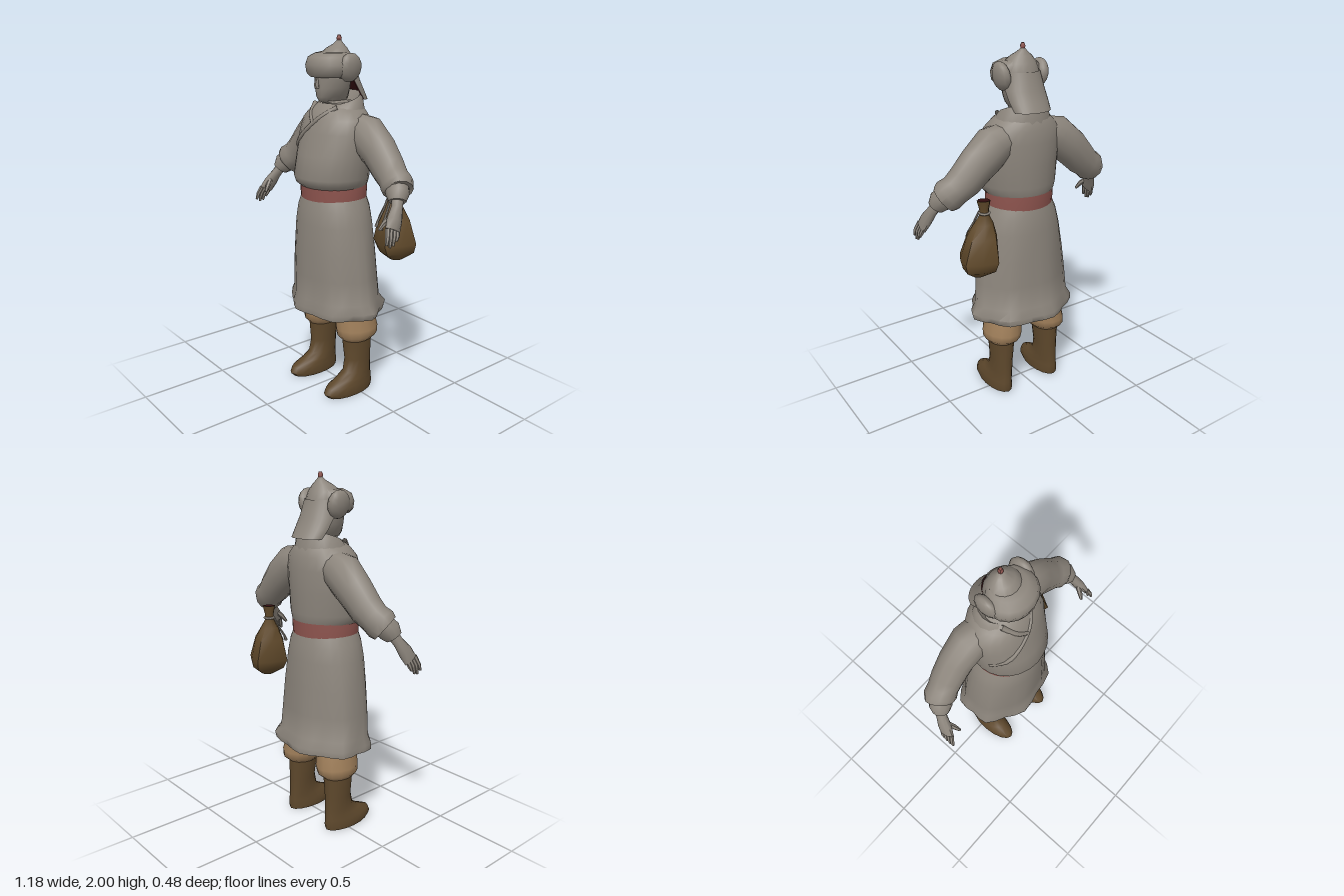
import * as THREE from 'three';
import { toCreasedNormals } from 'three/addons/utils/BufferGeometryUtils.js';

const mat = (name, color, side = THREE.FrontSide) => {
  const m = new THREE.MeshStandardMaterial({ color, side });
  m.name = name;
  return m;
};

// Skin a list of rings (arrays of Vector3); optional end caps
function skin(rings, { closed = true, capStart = false, capEnd = false, crease = 0.95 } = {}) {
  const n = rings[0].length, pos = [], idx = [];
  rings.forEach(r => r.forEach(p => pos.push(p.x, p.y, p.z)));
  for (let i = 0; i < rings.length - 1; i++)
    for (let j = 0; j < (closed ? n : n - 1); j++) {
      const k = (j + 1) % n, a = i * n + j, b = i * n + k, c = a + n, d = b + n;
      idx.push(a, c, b, b, c, d);
    }
  const cap = (i, flip) => {
    const c = new THREE.Vector3();
    rings[i].forEach(p => c.addScaledVector(p, 1 / n));
    const ci = pos.length / 3;
    pos.push(c.x, c.y, c.z);
    for (let j = 0; j < n; j++) {
      const a = i * n + j, b = i * n + (j + 1) % n;
      idx.push(...(flip ? [ci, a, b] : [ci, b, a]));
    }
  };
  if (capStart) cap(0, true);
  if (capEnd) cap(rings.length - 1, false);
  const g = new THREE.BufferGeometry();
  g.setAttribute('position', new THREE.Float32BufferAttribute(pos, 3));
  g.setIndex(idx);
  return toCreasedNormals(g, crease);
}

// Level rings going up: [y, half width, front z, back z, centre x, ripple, tilt]
function stack(rows, o = {}) {
  const { n = 20, start = 0, arc = Math.PI * 2, freq = 7 } = o;
  const open = arc < 6.28;
  return skin(rows.map(([y, rx, zf, zb, cx = 0, ripple = 0, tilt = 0]) =>
    Array.from({ length: open ? n + 1 : n }, (_, j) => {
      const t = j / n * arc, a = start + t, k = 1 + ripple * Math.cos(freq * t);
      return new THREE.Vector3(cx + Math.cos(a) * rx * k, y + tilt * Math.sin(a),
        (zf + zb) / 2 + Math.sin(a) * (zf - zb) / 2 * k);
    })), { ...o, closed: !open });
}

// Rings square to a path: [x, y, z, radius, radius towards z]
function limb(path, o = {}) {
  const n = o.n ?? 12, pts = path.map(p => new THREE.Vector3(p[0], p[1], p[2]));
  const rings = path.map((p, i) => {
    const t = pts[Math.min(i + 1, pts.length - 1)].clone().sub(pts[Math.max(i - 1, 0)]).normalize();
    const u = t.clone().cross(new THREE.Vector3(0, 0, 1)).normalize();
    const v = u.clone().cross(t);
    return Array.from({ length: n }, (_, j) => {
      const a = j / n * Math.PI * 2;
      return pts[i].clone().addScaledVector(u, Math.cos(a) * p[3]).addScaledVector(v, Math.sin(a) * (p[4] ?? p[3]));
    });
  });
  return skin(rings, { capStart: true, capEnd: true, ...o });
}

export function createModel() {
  const model = new THREE.Group();
  const grey = mat('grey felt', 0x8c857c, THREE.DoubleSide);
  const red = mat('sash red', 0x8f554f);
  const tan = mat('trouser tan', 0xa1805b);
  const brown = mat('leather brown', 0x5e482c);
  const sack = mat('sack brown', 0x614a2b);
  const lining = mat('dark red lining', 0x310e10, THREE.DoubleSide);
  const add = (name, geo, m) => {
    const mesh = new THREE.Mesh(geo, m);
    mesh.name = name;
    model.add(mesh);
    return mesh;
  };

  // Coat
  add('coatSkirt', stack([
    [0.52, 0.25, 0.18, -0.18], [0.475, 0.275, 0.21, -0.205, 0, 0.03], [0.485, 0.305, 0.235, -0.23, 0, 0.05],
    [0.52, 0.31, 0.238, -0.235, 0.005, 0.05], [0.565, 0.287, 0.222, -0.205, 0, 0.03], [0.7, 0.278, 0.222, -0.195, 0, 0.02],
    [0.85, 0.26, 0.22, -0.187, 0, 0.015], [1.0, 0.238, 0.215, -0.178], [1.09, 0.215, 0.207, -0.168], [1.15, 0.187, 0.192, -0.153],
  ], { n: 28, capStart: true }), grey);
  add('sash', stack([[1.135, 0.19, 0.196, -0.157], [1.175, 0.192, 0.2, -0.16], [1.215, 0.192, 0.203, -0.162]], { n: 28 }), red);
  add('coatTorso', stack([
    [1.2, 0.185, 0.195, -0.155], [1.225, 0.205, 0.228, -0.163], [1.26, 0.217, 0.238, -0.166], [1.38, 0.22, 0.212, -0.17],
    [1.5, 0.23, 0.178, -0.17], [1.57, 0.215, 0.155, -0.16], [1.615, 0.165, 0.13, -0.145], [1.65, 0.11, 0.09, -0.12],
  ], { n: 24, capEnd: true }), grey);
  add('collar', stack([
    [1.575, 0.17, 0.155, -0.15, 0, 0, -0.02], [1.655, 0.143, 0.1, -0.135, 0, 0, -0.03],
    [1.675, 0.125, 0.08, -0.122, 0, 0, -0.035], [1.625, 0.09, 0.07, -0.09, 0, 0, -0.03],
  ], { n: 18 }), grey);
  // Overlapping front edge and neck opening
  const edge = (name, pts) => add(name, new THREE.TubeGeometry(
    new THREE.CatmullRomCurve3(pts.map(p => new THREE.Vector3(...p))), 14, 0.014, 6), grey);
  edge('coatOverlap', [[0.1, 1.635, 0.075], [0.03, 1.575, 0.142], [-0.06, 1.5, 0.166], [-0.14, 1.43, 0.155], [-0.2, 1.37, 0.085]]);
  edge('collarFold', [[-0.095, 1.645, 0.07], [-0.05, 1.59, 0.132], [0, 1.548, 0.158]]);

  for (const s of [-1, 1]) {
    const side = s > 0 ? 'left' : 'right';
    const m = path => path.map(([x, ...r]) => [s * x, ...r]);
    // Sleeve with a turned cuff
    add(side + 'Sleeve', limb(m([
      [0.12, 1.525, -0.03, 0.085, 0.09], [0.2, 1.495, -0.04, 0.112, 0.1], [0.3, 1.415, -0.045, 0.105, 0.09],
      [0.38, 1.335, -0.04, 0.095, 0.085], [0.43, 1.295, -0.03, 0.084, 0.08], [0.465, 1.27, -0.02, 0.09, 0.085],
      [0.485, 1.25, -0.01, 0.08, 0.076], [0.48, 1.255, -0.01, 0.055, 0.055],
    ])), grey);
    add(side + 'Cuff', limb(m([
      [0.46, 1.275, -0.02, 0.062], [0.5, 1.235, 0.01, 0.062, 0.06], [0.515, 1.205, 0.025, 0.045],
    ])), grey);
    // Hand
    add(side + 'Palm', limb(m([
      [0.505, 1.225, 0.015, 0.03, 0.035], [0.53, 1.18, 0.04, 0.026, 0.032], [0.55, 1.125, 0.075, 0.028, 0.045],
      [0.565, 1.08, 0.1, 0.02, 0.045],
    ]), { n: 10 }), grey);
    for (let f = 0; f < 4; f++) {
      const z = 0.07 + f * 0.022, drop = [0.025, 0.005, 0, 0.015][f];
      add(side + 'Finger' + (f + 1), limb(m([
        [0.563, 1.095, z - 0.005, 0.013], [0.58, 1.05, z + 0.012, 0.012], [0.584, 1.002 + drop, z + 0.022, 0.007],
      ]), { n: 6 }), grey);
    }
    add(side + 'Thumb', limb(m([
      [0.54, 1.15, 0.075, 0.016], [0.52, 1.11, 0.115, 0.014], [0.508, 1.075, 0.14, 0.008],
    ]), { n: 6 }), grey);

    // Trouser leg and boot
    add(side + 'TrouserLeg', stack([
      [0.32, 0.075, 0.07, -0.115, s * 0.158], [0.35, 0.105, 0.098, -0.15, s * 0.155], [0.39, 0.11, 0.102, -0.155, s * 0.15],
      [0.47, 0.1, 0.1, -0.14, s * 0.14], [0.6, 0.1, 0.1, -0.13, s * 0.13],
    ], { n: 14, capStart: true }), tan);
    add(side + 'Boot', stack([
      [0, 0.068, 0.19, -0.115, s * 0.165], [0.025, 0.073, 0.215, -0.12, s * 0.165], [0.06, 0.068, 0.2, -0.118, s * 0.165],
      [0.09, 0.062, 0.13, -0.115, s * 0.163], [0.125, 0.058, 0.075, -0.113, s * 0.162], [0.2, 0.06, 0.058, -0.112, s * 0.16],
      [0.35, 0.072, 0.072, -0.118, s * 0.156],
    ], { n: 16, capStart: true }), brown);

    // Ear roll of the hat
    const ear = add(side + 'HatRoll', new THREE.SphereGeometry(1, 12, 8), grey);
    ear.scale.set(0.038, 0.076, 0.072);
    ear.position.set(s * 0.118, 1.838, 0.005);
    ear.rotation.z = s * -0.15;
  }

  // Head
  add('head', stack([
    [1.58, 0.07, 0.06, -0.08], [1.645, 0.06, 0.065, -0.075], [1.662, 0.035, 0.115, -0.07], [1.685, 0.055, 0.127, -0.075],
    [1.73, 0.075, 0.13, -0.08], [1.78, 0.082, 0.133, -0.085], [1.84, 0.085, 0.135, -0.085],
  ], { n: 16 }), grey);
  add('nose', limb([[0, 1.79, 0.125, 0.009], [0, 1.75, 0.133, 0.014, 0.016], [0, 1.732, 0.13, 0.016, 0.012]], { n: 6 }), grey);

  // Hat: rolled brim, pointed crown, knob and neck flap
  add('hatBrim', stack([
    [1.795, 0.085, 0.13, -0.03], [1.788, 0.11, 0.148, -0.05], [1.81, 0.134, 0.165, -0.065], [1.85, 0.14, 0.17, -0.07],
    [1.89, 0.125, 0.158, -0.065], [1.912, 0.09, 0.115, -0.06],
  ], { n: 18, capEnd: true }), grey);
  add('hatCrown', stack([
    [1.78, 0.1, 0.1, -0.1], [1.85, 0.103, 0.1, -0.093], [1.9, 0.09, 0.095, -0.075], [1.935, 0.058, 0.05, -0.055],
    [1.955, 0.03, 0.013, -0.04], [1.975, 0.01, -0.008, -0.028],
  ], { n: 16, capEnd: true }), grey);
  add('hatKnob', stack([[1.96, 0.009, -0.008, -0.027], [1.985, 0.014, -0.003, -0.032], [2.0, 0.008, -0.01, -0.026]],
    { n: 8, capEnd: true }), red);
  const flap = inset => stack([
    [1.665, 0.108, -0.03, -0.176], [1.71, 0.115, 0.02, -0.152], [1.77, 0.116, 0.07, -0.122], [1.86, 0.104, 0.1, -0.095],
  ].map(([y, rx, f, b]) => [y, rx - inset, f - inset, b + inset]), { n: 14, start: Math.PI, arc: Math.PI });
  add('neckFlap', flap(0), grey);
  add('neckFlapLining', flap(0.009), lining);

  // Tied sack hanging by the left hip
  add('sack', stack([
    [0.83, 0.035, -0.09, -0.16, 0.36], [0.875, 0.095, -0.025, -0.225, 0.355, 0.1], [0.925, 0.112, -0.005, -0.238, 0.35, 0.1],
    [1.05, 0.085, -0.04, -0.215, 0.335, 0.06], [1.12, 0.053, -0.08, -0.18, 0.325], [1.17, 0.024, -0.108, -0.156, 0.32],
    [1.2, 0.026, -0.106, -0.158, 0.32], [1.25, 0.037, -0.095, -0.169, 0.322],
  ], { n: 8, start: 1.15, freq: 4, capStart: true }), sack);
  add('sackMouth', stack([[1.243, 0.034, -0.098, -0.166, 0.322], [1.246, 0.034, -0.098, -0.166, 0.322]],
    { n: 8, start: 1.15, capEnd: true }), lining);
  const tie = add('sackTie', new THREE.TorusGeometry(0.027, 0.007, 6, 12), grey);
  tie.rotation.x = Math.PI / 2;
  tie.position.set(0.32, 1.178, -0.132);
  [[0.315, 0.32, 1.02], [0.335, 0.358, 1.01]].forEach(([x0, x1, y], i) => add('sackCord' + (i + 1), limb([
    [x0, 1.18, -0.105, 0.006], [(x0 + x1) / 2, 1.11, -0.068, 0.006], [x1, y + 0.03, -0.024, 0.007], [x1, y, -0.012, 0.01],
  ], { n: 6 }), grey));

  return model;
}
